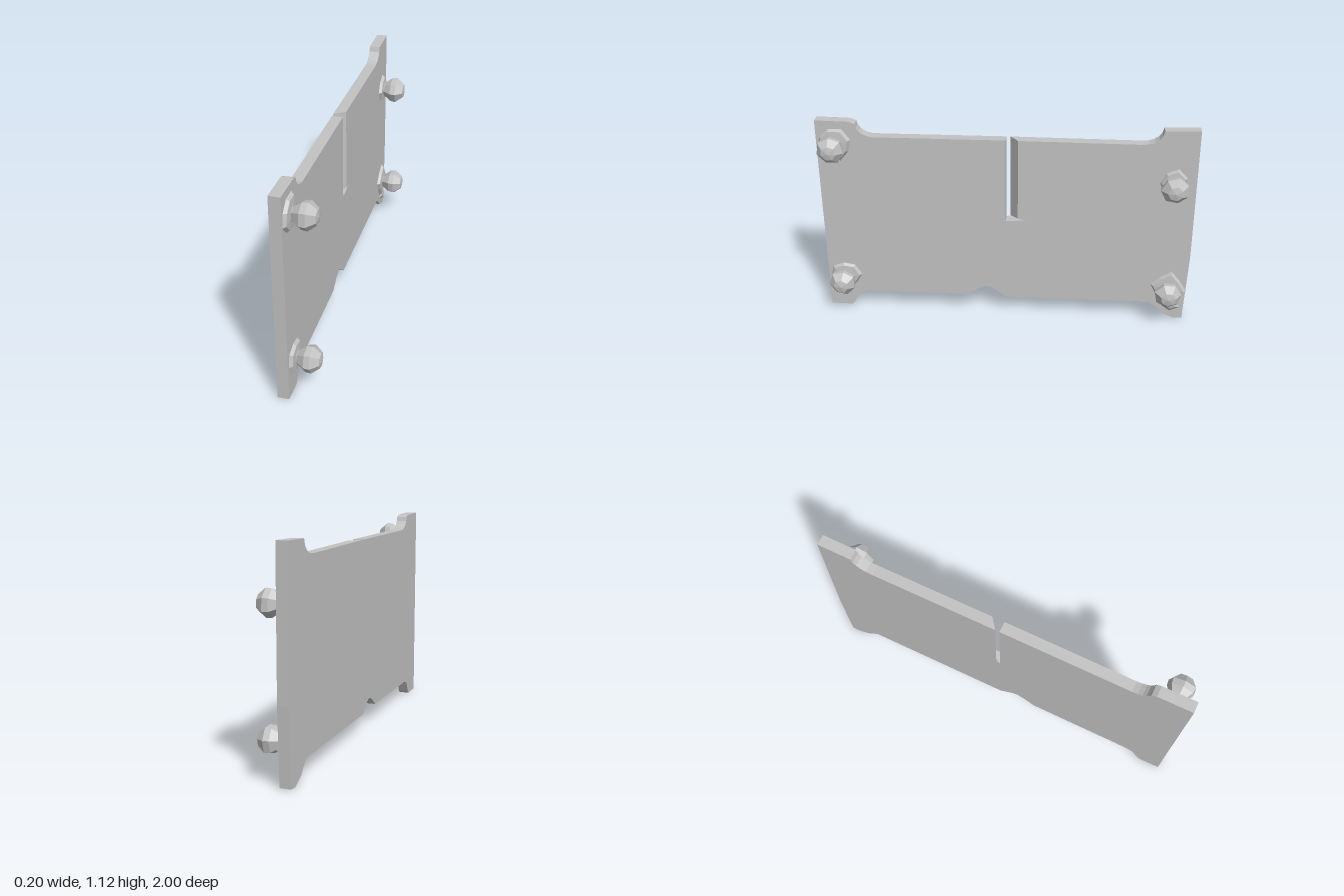
import * as THREE from 'three';

const stone = new THREE.MeshStandardMaterial({ color: 0xc2c2c2, flatShading: true });
stone.name = 'light grey';

const BACK = -0.1, FACE = -0.042;

// Faceted solid turned about the x axis; profile is [radius, x], radii scales each side
function turned(profile, radii, phase = 0) {
  const n = radii.length;
  const geo = new THREE.LatheGeometry(profile.map(p => new THREE.Vector2(...p)), n, phase);
  const pos = geo.attributes.position;
  const rows = profile.length;
  for (let i = 0; i < pos.count; i++) {
    const s = radii[Math.floor(i / rows) % n];
    pos.setX(i, pos.getX(i) * s);
    pos.setZ(i, pos.getZ(i) * s);
  }
  geo.rotateZ(-Math.PI / 2);
  geo.computeVertexNormals();
  return geo;
}

// Board outline drawn as (-z, y)
function boardGeometry() {
  const s = new THREE.Shape();
  s.moveTo(-0.995, 0.01);
  [[-0.88, 0.008], [-0.862, 0.025], [-0.83, 0.085], [-0.78, 0.1], [-0.21, 0.105], [-0.15, 0.148],
    [-0.11, 0.165], [-0.075, 0.157], [0, 0.1], [0.8, 0.104], [0.845, 0.07], [0.87, 0.04],
    [0.94, 0.008], [0.985, 0.012], [1, 0.4], [0.995, 1.128], [0.812, 1.122]].forEach(p => s.lineTo(...p));
  s.quadraticCurveTo(0.8, 1.045, 0.7, 1.045);
  // sawn slot with a splayed wall and a nick at its foot
  [[0.065, 1.045], [0.065, 0.595], [0.115, 0.585], [0, 0.578], [0, 1.045], [-0.7, 1.04]]
    .forEach(p => s.lineTo(...p));
  s.quadraticCurveTo(-0.78, 1.05, -0.79, 1.11);
  s.lineTo(-0.815, 1.122);
  s.lineTo(-1, 1.125);
  const geo = new THREE.ExtrudeGeometry(s, { depth: FACE - BACK, bevelEnabled: false, curveSegments: 5 });
  const pos = geo.attributes.position;
  for (let i = 0; i < pos.count; i++) {
    const u = pos.getX(i);
    // the slot narrows towards the back
    if (pos.getZ(i) < 0.01 && u > 0.02 && u < 0.2) pos.setX(i, 0.022);
  }
  geo.rotateY(Math.PI / 2);
  geo.translate(BACK, 0, 0);
  geo.computeVertexNormals();
  return geo;
}

export function createModel() {
  const model = new THREE.Group();
  const add = (name, geo, y = 0, z = 0) => {
    const mesh = new THREE.Mesh(geo, stone);
    mesh.name = name;
    mesh.position.set(0, y, z);
    model.add(mesh);
  };

  add('board', boardGeometry());

  // Faceted studs on chipped collars, one near each corner
  const stud = [[0, -0.045], [0.036, -0.03], [0.04, -0.018], [0.07, 0.022], [0.073, 0.052], [0.04, 0.092], [0, 0.1]];
  const collar = [[0.095, -0.045], [0.08, -0.026], [0, -0.018]];
  const studs = [
    ['upperFront', 0.995, 0.905, [1, 0.95, 1.05, 0.9, 1, 1.05, 0.95, 0.92], 0.3],
    ['upperBack', 0.835, -0.88, [0.8, 0.85, 0.6, 0.8, 0.9, 0.75, 0.8], 0.9],
    ['lowerFront', 0.2, 0.9, [0.9, 1, 0.85, 0.8, 1, 0.95, 0.85, 0.95], 0.1],
    ['lowerBack', 0.205, -0.89, [0.8, 1.1, 0.75, 1.15, 0.85, 1.1, 0.8, 1], 0.6],
  ];
  for (const [name, y, z, radii, phase] of studs) {
    add(name + 'Stud', turned(stud, [1, 0.95, 1.02, 0.97, 1, 0.94, 1.03], phase), y, z);
    add(name + 'Collar', turned(collar, radii, phase), y, z);
  }

  // Rough swelling on the lower back foot
  const lump = turned([[0.055, -0.045], [0.03, -0.03], [0, -0.024]], [1.1, 0.9, 1, 0.8, 1.1], 0.2);
  add('footSwelling', lump, 0.1, -0.92);

  return model;
}
